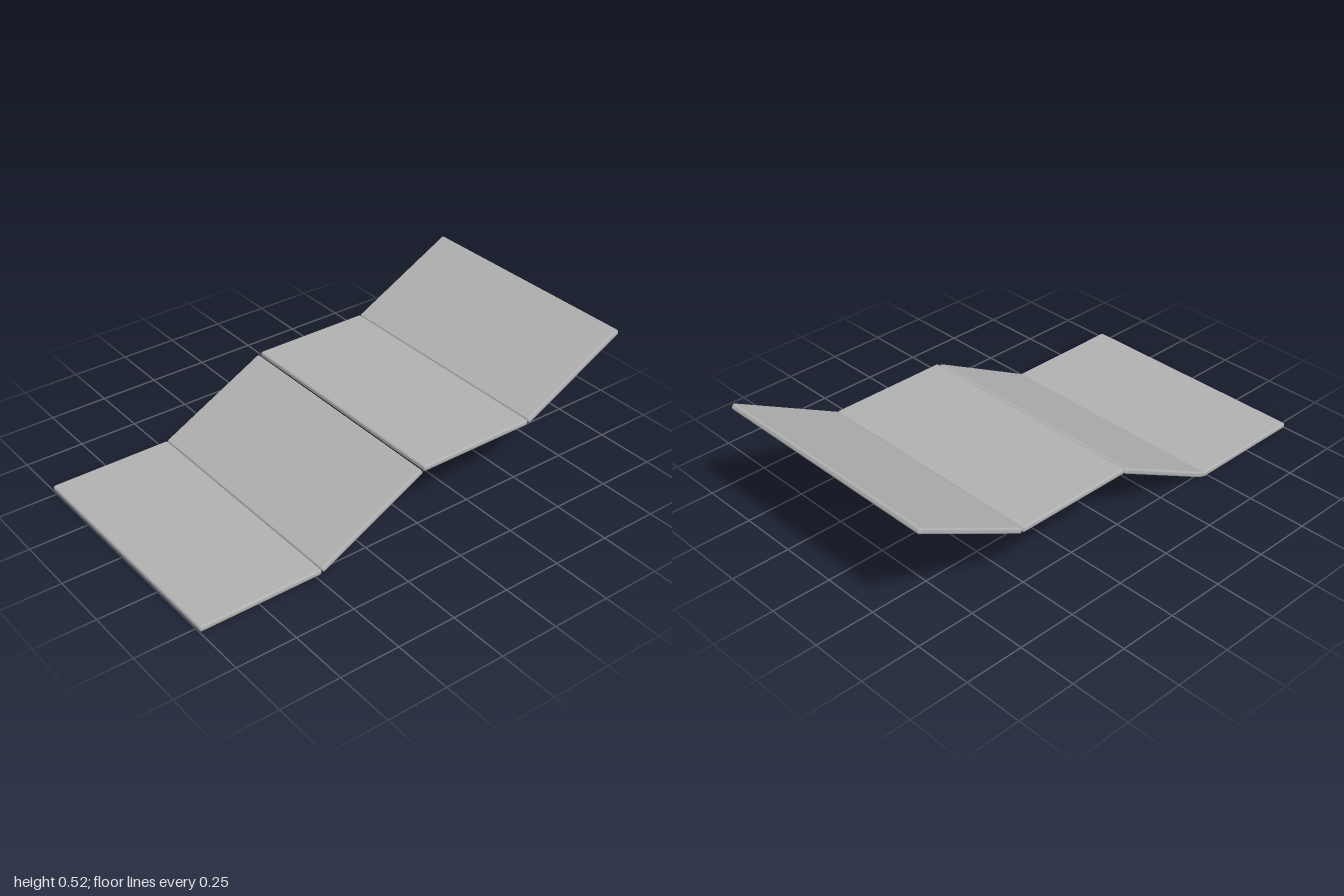
import * as THREE from 'three';
import { RoundedBoxGeometry } from 'three/addons/geometries/RoundedBoxGeometry.js';

const LENGTH = 0.526, THICKNESS = 0.024, DEPTH = 1.06;
const TILT = THREE.MathUtils.degToRad(27.8);

export function createModel() {
  const model = new THREE.Group();
  model.name = 'foldingPanelMat';

  const grey = new THREE.MeshStandardMaterial({ color: 0xb0b0b0 });
  grey.name = 'grey';

  // One softly rounded slab shared by all four sections
  const slab = new RoundedBoxGeometry(LENGTH, THICKNESS, DEPTH, 3, 0.009);

  // Section centres: flat and rising panels alternate like a zigzag
  const panels = [
    { name: 'lowerFlatPanel', x: -0.737, y: 0.012, tilt: 0 },
    { name: 'lowerSlopedPanel', x: -0.239, y: 0.136, tilt: TILT },
    { name: 'upperFlatPanel', x: 0.264, y: 0.264, tilt: 0 },
    { name: 'upperSlopedPanel', x: 0.763, y: 0.386, tilt: TILT },
  ];

  for (const { name, x, y, tilt } of panels) {
    const panel = new THREE.Mesh(slab, grey);
    panel.name = name;
    panel.position.set(x, y, 0);
    panel.rotation.z = tilt;
    model.add(panel);
  }
  return model;
}
